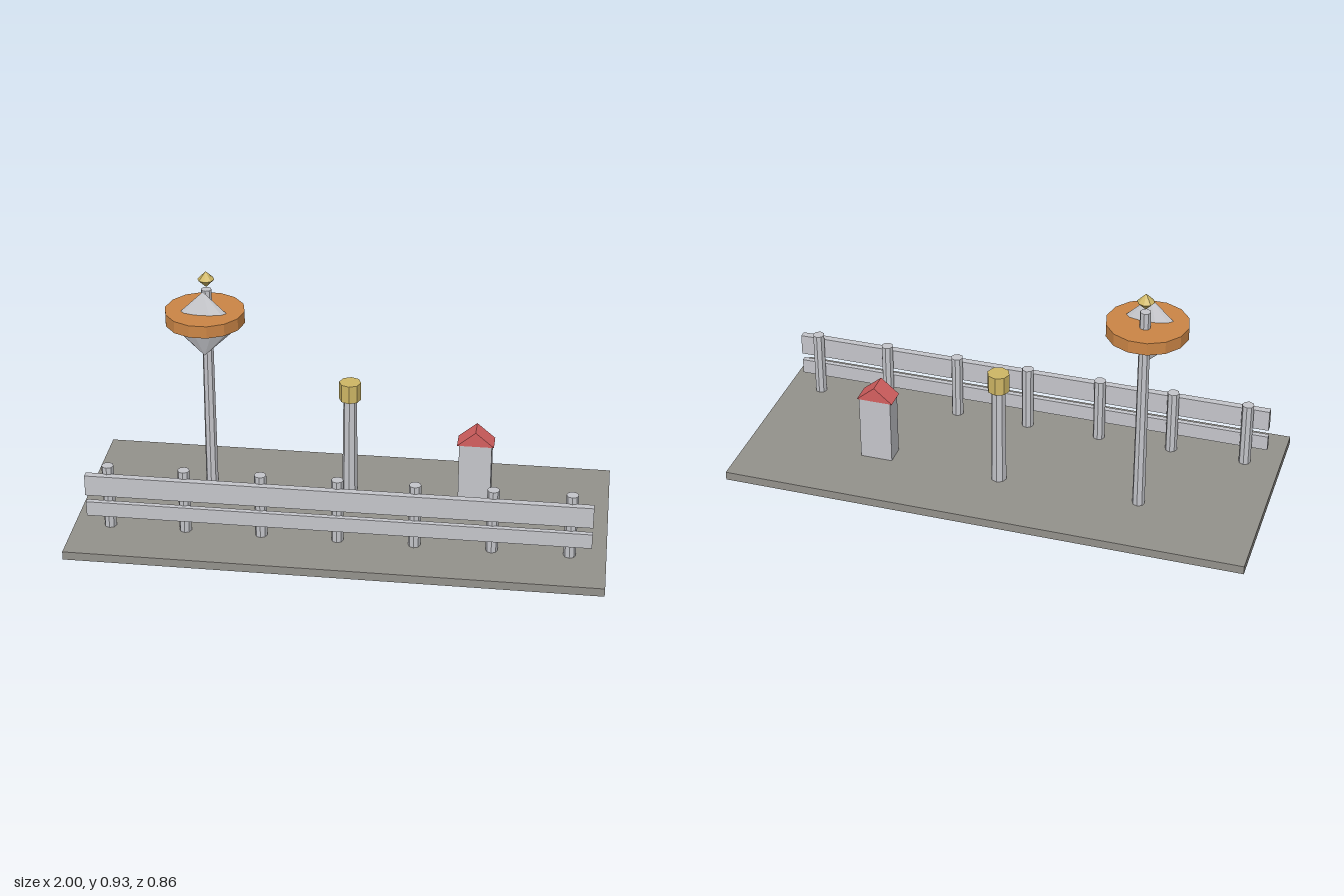
import * as THREE from 'three';

const mat = (name, color) => {
  const m = new THREE.MeshStandardMaterial({ color, flatShading: true });
  m.name = name;
  return m;
};

export function createModel() {
  const group = new THREE.Group();
  const stone = mat('stone', 0x94928c);
  const grey = mat('paleGrey', 0xc5c6cb);
  const orange = mat('orange', 0xcc8646);
  const yellow = mat('brass', 0xcfb765);
  const red = mat('red', 0xd56060);

  const add = (name, geo, material, x, y, z) => {
    const mesh = new THREE.Mesh(geo, material);
    mesh.name = name;
    mesh.position.set(x, y, z);
    group.add(mesh);
    return mesh;
  };
  const box = (name, m, w, y0, y1, d, x, z) =>
    add(name, new THREE.BoxGeometry(w, y1 - y0, d), m, x, (y0 + y1) / 2, z);
  const column = (name, m, rTop, rBottom, sides, y0, y1, x, z) =>
    add(name, new THREE.CylinderGeometry(rTop, rBottom, y1 - y0, sides), m, x, (y0 + y1) / 2, z);

  const floor = 0.033;
  const rowZ = -0.162;
  box('base', stone, 2, 0, floor, 0.864, 0, 0);

  // Fence: seven posts and two planks
  for (let i = -3; i <= 3; i++) {
    column('fencePost', grey, 0.023, 0.023, 8, floor, 0.29, i * 0.288, 0.217);
  }
  box('upperPlank', grey, 1.89, 0.179, 0.262, 0.027, 0, 0.245);
  box('lowerPlank', grey, 1.89, 0.089, 0.148, 0.02, 0, 0.244);

  // Tall mast with a disc, a flattened double cone and a finial
  const mastX = -0.543;
  column('mast', grey, 0.02, 0.024, 8, floor, 0.857, mastX, rowZ);
  column('disc', orange, 0.151, 0.151, 14, 0.745, 0.793, mastX, -0.121).rotation.y = Math.PI / 2;
  add('doubleCone', new THREE.SphereGeometry(1, 10, 2), grey, mastX, 0.745, -0.094)
    .scale.set(0.136, 0.132, 0.046);
  add('finial', new THREE.SphereGeometry(0.032, 8, 2), yellow, mastX, 0.898, rowZ);

  // Short lamp column with a brass cap
  column('lampColumn', grey, 0.026, 0.03, 8, floor, 0.43, 0, rowZ);
  column('lampCap', yellow, 0.042, 0.042, 8, 0.428, 0.5, 0, rowZ);

  // Small hut with a gable roof
  const hutX = 0.486, hutZ = -0.136, depth = 0.081;
  box('hutBody', grey, 0.124, floor, 0.29, depth - 0.002, hutX, hutZ);
  const gable = new THREE.Shape([
    new THREE.Vector2(-0.07, 0),
    new THREE.Vector2(0.07, 0),
    new THREE.Vector2(0, 0.059),
  ]);
  const roof = new THREE.ExtrudeGeometry(gable, { depth, bevelEnabled: false });
  add('hutRoof', roof, red, hutX, 0.29, hutZ - depth / 2);

  return group;
}
